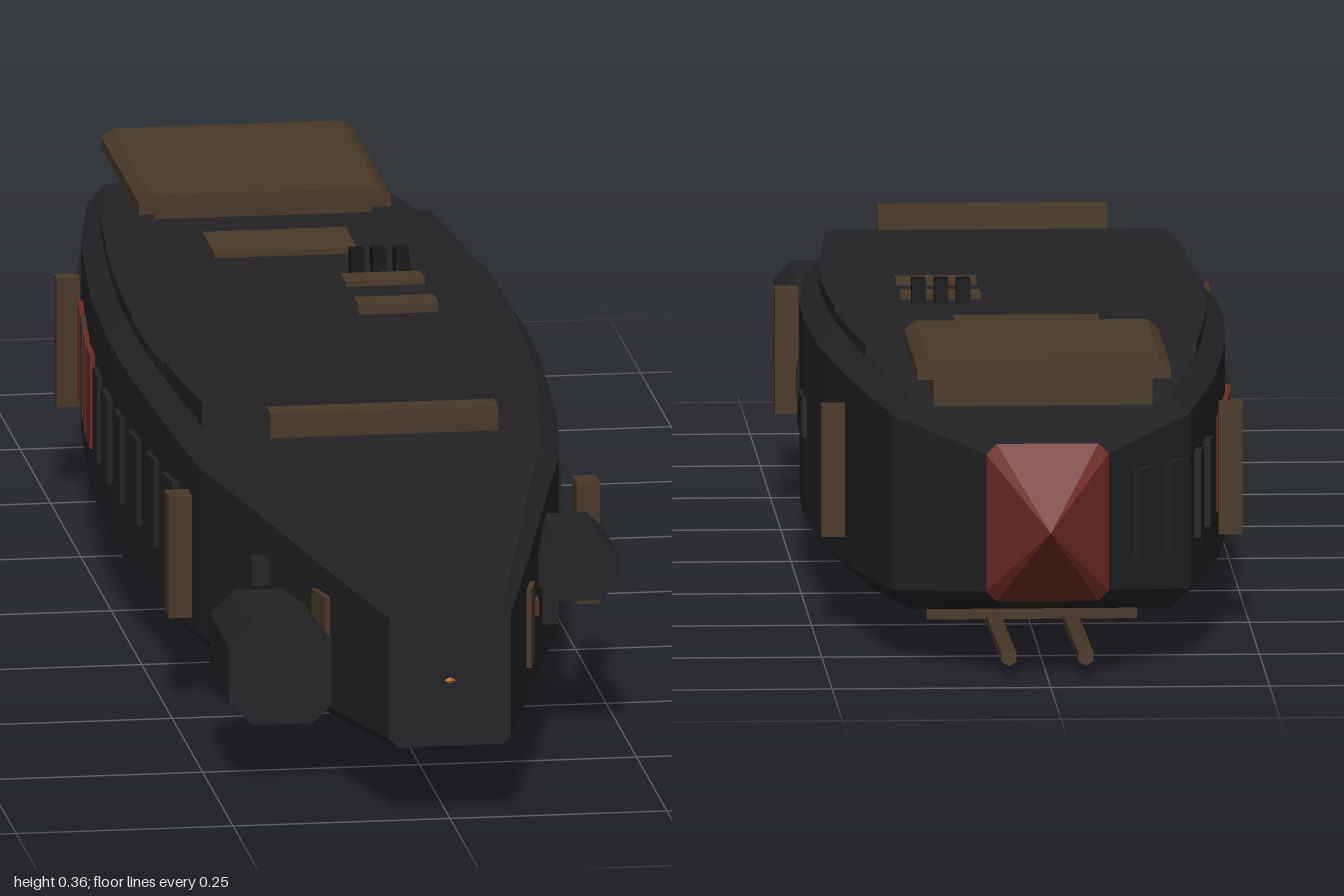
import * as THREE from 'three';

const material = (color) => new THREE.MeshStandardMaterial({ color, flatShading: true });
const DARK = material(0x232326), BLACK = material(0x161618), BROWN = material(0x4a3828);
const RED = material(0x6e2a24), AMBER = material(0xa8651c);

// hull stations from bow to stern: z, half width, bottom, top, chamfer
const STATIONS = [
  [1.0, 0.07, 0.088, 0.25, 0.01], [0.8, 0.118, 0.076, 0.266, 0.014],
  [0.6, 0.165, 0.066, 0.284, 0.018], [0.42, 0.207, 0.056, 0.297, 0.022],
  [0.3, 0.222, 0.051, 0.31, 0.024], [0.05, 0.238, 0.046, 0.318, 0.024],
  [-0.1, 0.24, 0.046, 0.319, 0.024], [-0.3, 0.232, 0.047, 0.318, 0.024],
  [-0.55, 0.208, 0.052, 0.316, 0.024], [-0.77, 0.17, 0.06, 0.306, 0.022],
  [-0.92, 0.07, 0.09, 0.272, 0.012],
];

// interpolate one column of the station table
function station(z, column) {
  let i = 0;
  while (i < STATIONS.length - 2 && STATIONS[i + 1][0] > z) i++;
  const a = STATIONS[i], b = STATIONS[i + 1];
  return THREE.MathUtils.lerp(a[column], b[column], (z - a[0]) / (b[0] - a[0]));
}

// chamfered rectangle, counter-clockwise seen from the bow
function octagon(x0, x1, y0, y1, c) {
  return [[x1 - c, y0], [x1, y0 + c], [x1, y1 - c], [x1 - c, y1],
    [x0 + c, y1], [x0, y1 - c], [x0, y0 + c], [x0 + c, y0]];
}
const ring = ([z, w, y0, y1, c]) => octagon(-w, w, y0, y1, c).map(([x, y]) => [x, y, z]);

// skin a run of rings ordered from +z to -z, closing both ends
function loft(rings) {
  const p = [], n = rings[0].length;
  for (let i = 0; i < rings.length - 1; i++) {
    for (let j = 0; j < n; j++) {
      const k = (j + 1) % n, [r, s] = [rings[i], rings[i + 1]];
      p.push(...r[j], ...s[j], ...r[k], ...r[k], ...s[j], ...s[k]);
    }
  }
  const first = rings[0], last = rings[rings.length - 1];
  for (let j = 1; j < n - 1; j++) {
    p.push(...first[0], ...first[j], ...first[j + 1]);
    p.push(...last[0], ...last[j + 1], ...last[j]);
  }
  const g = new THREE.BufferGeometry();
  g.setAttribute('position', new THREE.Float32BufferAttribute(p, 3));
  g.computeVertexNormals();
  return g;
}

export function createModel() {
  const model = new THREE.Group();
  const add = (name, geometry, mat) => {
    const mesh = new THREE.Mesh(geometry, mat);
    mesh.name = name;
    model.add(mesh);
    return mesh;
  };
  // box given by its limits on each axis
  const box = (name, mat, x0, x1, y0, y1, z0, z1) => {
    const mesh = add(name, new THREE.BoxGeometry(x1 - x0, y1 - y0, z1 - z0), mat);
    mesh.position.set((x0 + x1) / 2, (y0 + y1) / 2, (z0 + z1) / 2);
    return mesh;
  };
  // plate lying on the hull side (side is 1 or -1)
  const sidePlate = (name, mat, side, z, width, y0, y1, depth = 0.012) => {
    const mesh = add(name, new THREE.BoxGeometry(depth, y1 - y0, width), mat);
    mesh.position.set(side * station(z, 1), (y0 + y1) / 2, z);
    const slope = (station(z + 0.01, 1) - station(z - 0.01, 1)) / 0.02;
    mesh.rotation.y = side * Math.atan(slope);
  };

  // hull and pointed stern
  add('hull', loft(STATIONS.map(ring)), DARK);
  const sternRing = ring(STATIONS[STATIONS.length - 1]);
  add('sternCone', loft([sternRing, sternRing.map(() => [0, 0.18, -1])]), RED);

  // roof panels follow the hull outline with narrow gaps between them
  const seams = [0.35, 0.14, -0.06, -0.25, -0.52];
  const heights = [0.333, 0.328, 0.333, 0.328];
  for (let i = 0; i < 4; i++) {
    const z0 = seams[i] - 0.003, z1 = seams[i + 1] + 0.003;
    const rings = [z0, (z0 + z1) / 2, z1].map((z) => {
      const w = station(z, 1) - 0.022;
      return [[w, 0.295, z], [w, heights[i], z], [-w, heights[i], z], [-w, 0.295, z]];
    });
    add('roofPanel', loft(rings), DARK);
  }

  // rear deck block with a bevelled top plate
  const deck = [[0.145, 0.333], [0.145, 0.346], [0.132, 0.356],
    [-0.132, 0.356], [-0.145, 0.346], [-0.145, 0.333]];
  add('rearDeck', loft([-0.52, -0.83].map((z) => deck.map(([x, y]) => [x, y, z]))), BROWN);
  box('rearDeckBase', BROWN, -0.125, 0.125, 0.3, 0.335, -0.81, -0.535);

  // roof fittings
  box('roofHatch', BROWN, -0.085, 0.08, 0.32, 0.334, -0.43, -0.33);
  for (const z of [-0.18, -0.07]) box('roofBox', BROWN, 0.042, 0.134, 0.32, 0.339, z - 0.02, z + 0.02);
  for (const x of [0.064, 0.089, 0.115]) box('roofPipe', BLACK, x - 0.008, x + 0.008, 0.32, 0.361, -0.235, -0.21);

  // stand-off bars around the hull
  box('topBar', BROWN, -0.131, 0.131, 0.318, 0.347, 0.427, 0.46);
  box('bottomBar', BROWN, -0.131, 0.131, 0.013, 0.042, 0.427, 0.46);
  box('rearBottomBar', BROWN, -0.12, 0.12, 0.014, 0.034, -0.54, -0.52);
  for (const s of [-1, 1]) {
    const post = (x, h, z, d) => box('sideBar', BROWN, s * x - 0.0135, s * x + 0.0135, 0.11, h, z - d, z + d);
    post(0.235, 0.253, 0.443, 0.017);
    post(0.227, 0.262, -0.53, 0.011);

    // sloping runners under the stern
    const runner = add('runner', new THREE.CylinderGeometry(0.01, 0.01, 0.47, 6), BROWN);
    runner.position.set(s * 0.044, 0.019, -0.685);
    runner.rotation.x = -Math.PI / 2 + 0.028;
    sidePlate('bowPlate', BROWN, s, 0.8, 0.042, 0.13, 0.222);
  }

  // engine pods of different size on either side
  const pod = (x0, x1, y0, y1, c, z0, z1) =>
    add('pod', loft([z1, z0].map((z) => octagon(x0, x1, y0, y1, c).map(([x, y]) => [x, y, z]))), DARK);
  pod(-0.23, -0.105, 0.075, 0.195, 0.028, 0.67, 0.825);
  pod(0.145, 0.237, 0.174, 0.248, 0.02, 0.575, 0.692);
  box('podStrut', DARK, 0.15, 0.178, 0.13, 0.18, 0.6, 0.625);
  box('podStrut', DARK, -0.177, -0.15, 0.19, 0.22, 0.61, 0.635);
  box('smallLatch', BROWN, 0.13, 0.142, 0.165, 0.184, 0.7, 0.72);

  // bow light
  const light = add('bowLight', new THREE.OctahedronGeometry(1), AMBER);
  light.scale.set(0.014, 0.008, 0.004);
  light.position.set(0, 0.165, 0.998);

  // door and two windows on the left side
  sidePlate('sideDoor', DARK, 1, 0.335, 0.035, 0.13, 0.245, 0.008);
  for (const z of [0.17, -0.1]) {
    sidePlate('sideWindowFrame', DARK, 1, z, 0.078, 0.165, 0.21, 0.008);
    sidePlate('sideWindow', BLACK, 1, z, 0.06, 0.172, 0.203, 0.011);
  }

  // row of shutters along the right side, four of them coloured
  [-0.86, -0.8, -0.72, -0.63].forEach((z) => sidePlate('sternShutter', DARK, -1, z, 0.035, 0.135, 0.235, 0.016));
  [RED, BROWN, RED, RED].forEach((m, i) => sidePlate('colouredShutter', m, -1, -0.475 + i * 0.068, 0.05, 0.13, 0.24));
  for (let i = 0; i < 6; i++) sidePlate('shutter', DARK, -1, -0.19 + i * 0.098, 0.05, 0.135, 0.235);

  return model;
}
